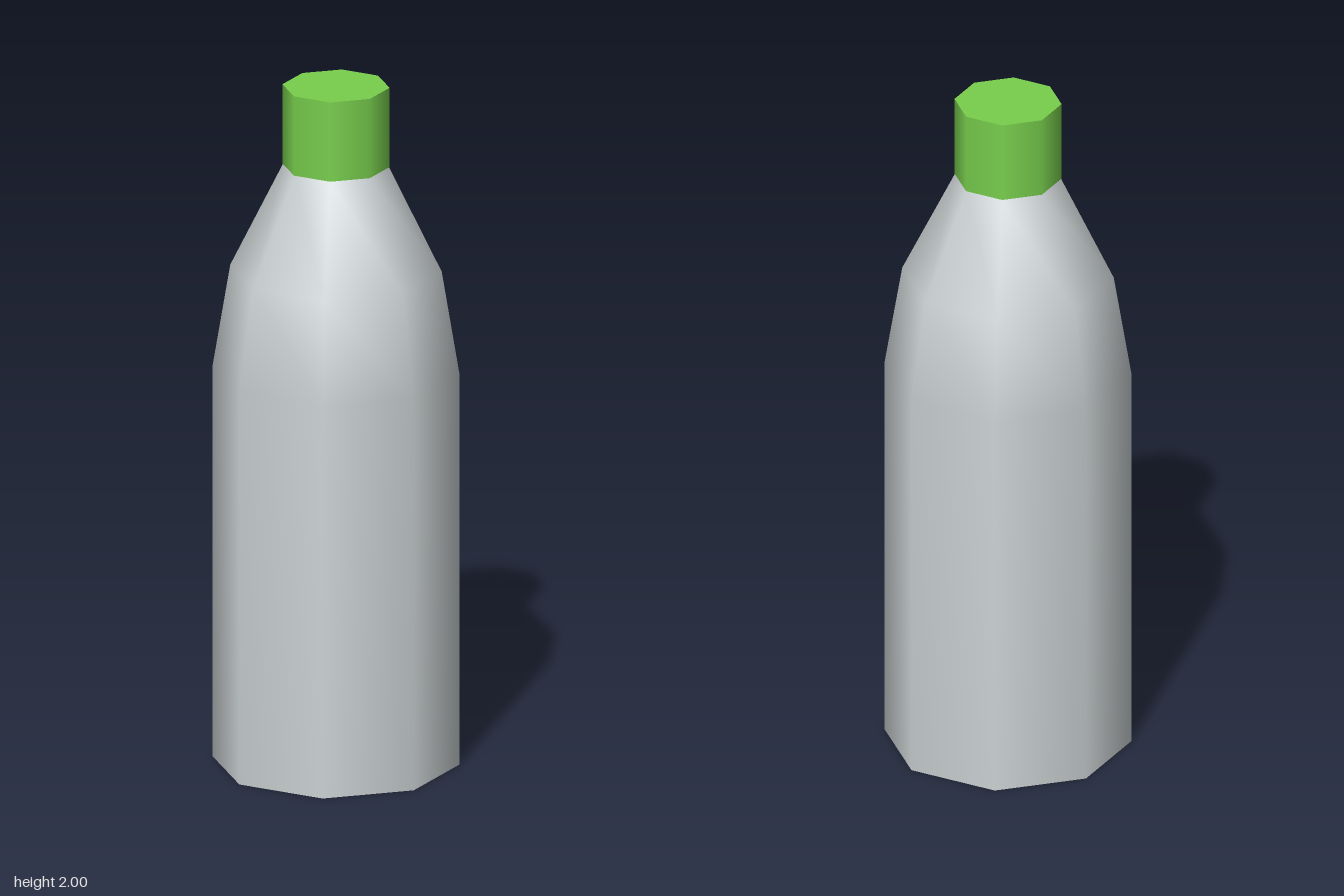
import * as THREE from 'three';

const SIDES = 8;

export function createModel() {
  const group = new THREE.Group();
  group.name = 'bottle';

  const glass = new THREE.MeshStandardMaterial({ color: 0xcbd1d3 });
  glass.name = 'paleGrey';
  const green = new THREE.MeshStandardMaterial({ color: 0x78cf4d });
  green.name = 'capGreen';

  const add = (name, geometry, material, y = 0) => {
    const mesh = new THREE.Mesh(geometry, material);
    mesh.name = name;
    mesh.position.y = y;
    group.add(mesh);
    return mesh;
  };

  // Eight-sided body with smooth shoulders tapering to the neck
  const profile = [[0.35, 0], [0.35, 1.16], [0.3, 1.46], [0.15, 1.765]]
    .map(([r, y]) => new THREE.Vector2(r, y));
  add('body', new THREE.LatheGeometry(profile, SIDES), glass);

  // Flat underside
  add('base', new THREE.CircleGeometry(0.35, SIDES).rotateX(Math.PI / 2), glass);

  // Screw cap: smooth sides, flat ends
  const capHeight = 0.235;
  add('cap', new THREE.CylinderGeometry(0.152, 0.152, capHeight, SIDES), green, 2 - capHeight / 2);

  return group;
}
